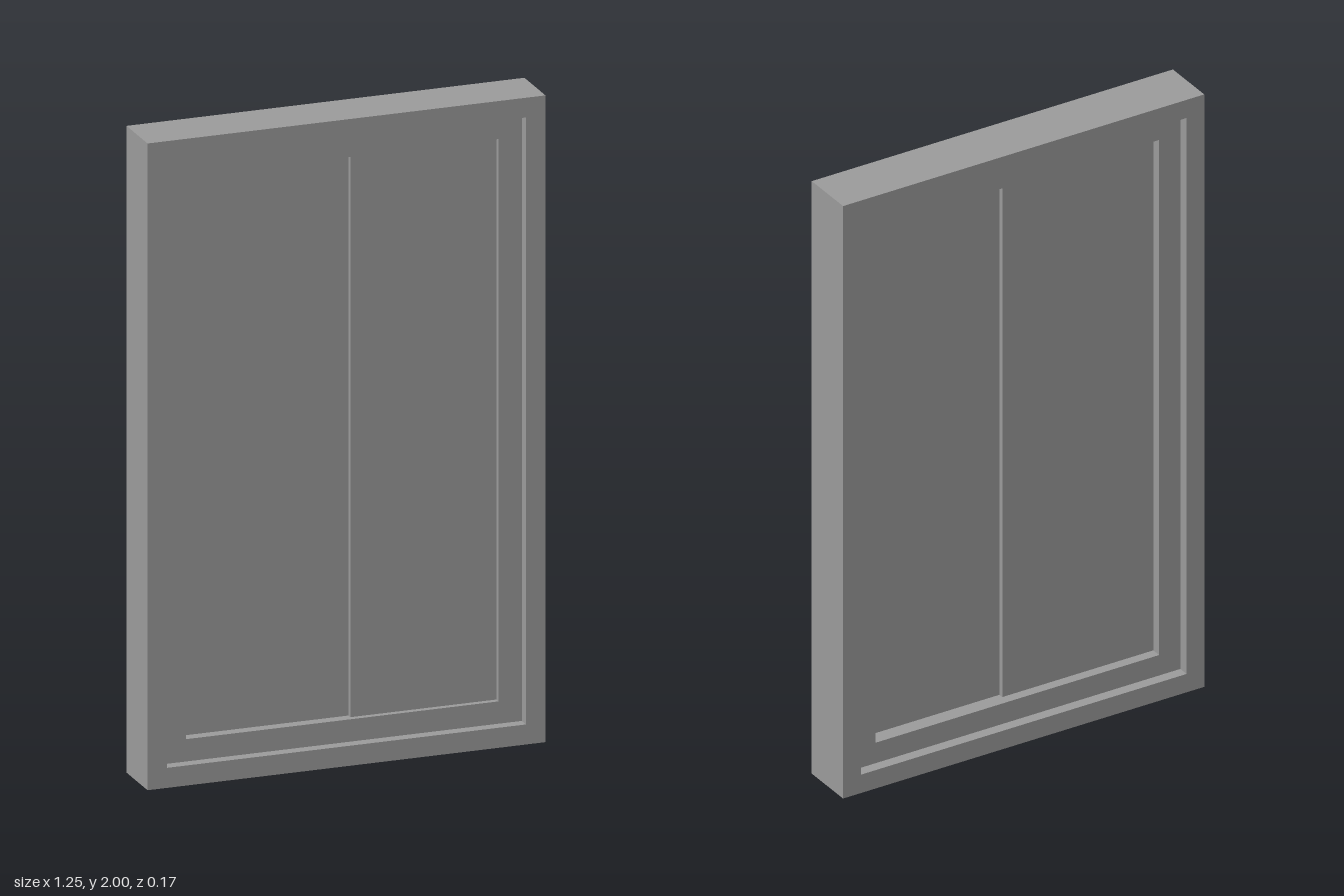
import * as THREE from 'three';

const material = new THREE.MeshStandardMaterial({ color: 0x9a9a9a });

function rect(path, x, y0, y1) {
  path.moveTo(-x, y0);
  path.lineTo(x, y0);
  path.lineTo(x, y1);
  path.lineTo(-x, y1);
  path.closePath();
  return path;
}

// Rectangular ring, extruded symmetrically about z = 0
function ring(name, outer, inner, depth) {
  const shape = rect(new THREE.Shape(), ...outer);
  shape.holes.push(rect(new THREE.Path(), ...inner));
  const geometry = new THREE.ExtrudeGeometry(shape, { depth, bevelEnabled: false });
  geometry.translate(0, 0, -depth / 2);
  const mesh = new THREE.Mesh(geometry, material);
  mesh.name = name;
  return mesh;
}

function panel(name, x0, x1, y0, y1, z) {
  const mesh = new THREE.Mesh(new THREE.BoxGeometry(x1 - x0, y1 - y0, 0.037), material);
  mesh.position.set((x0 + x1) / 2, (y0 + y1) / 2, z);
  mesh.name = name;
  return mesh;
}

export function createModel() {
  const group = new THREE.Group();
  group.name = 'slidingWindow';

  // Half width, bottom and top of each nested rectangle
  const outside = [0.624, 0, 2];
  const step = [0.563, 0.062, 1.939];
  const opening = [0.49, 0.131, 1.87];

  group.add(ring('outerFrame', outside, step, 0.174));
  group.add(ring('innerFrame', step, opening, 0.104));

  // Two panes on offset tracks, meeting right of centre
  const [w, y0, y1] = opening;
  group.add(panel('rearPane', -w, 0.032, y0, y1, -0.001));
  group.add(panel('frontPane', 0.032, w, y0, y1, 0.015));
  return group;
}
